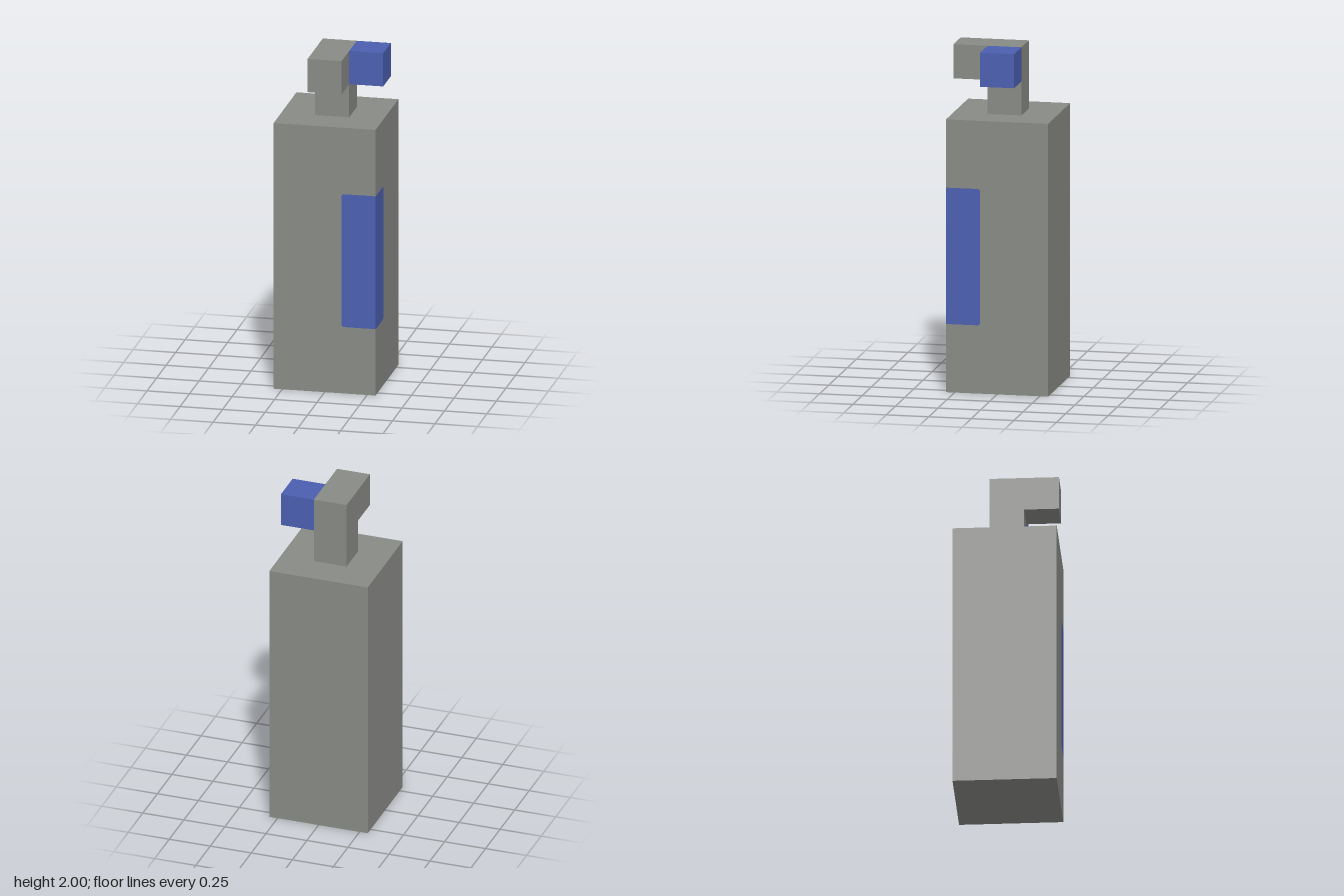
import * as THREE from 'three';

const grey = new THREE.MeshStandardMaterial({ name: 'grey', color: 0x888a85 });
const blue = new THREE.MeshStandardMaterial({ name: 'blue', color: 0x4b5fb0 });

function part(name, geometry, material, parent) {
  const mesh = new THREE.Mesh(geometry, material);
  mesh.name = name;
  parent.add(mesh);
  return mesh;
}

// Half of the corner label, its inner corners slightly clipped
function labelGeometry(side) {
  const inner = 0.1, outer = 0.301, low = 0.4, high = 1.2, clip = 0.01;
  const points = [
    [outer, low], [outer, high], [inner + clip, high],
    [inner, high - clip], [inner, low + clip], [inner + clip, low],
  ].map(([x, y]) => new THREE.Vector2(side * x, y));
  return new THREE.ShapeGeometry(new THREE.Shape(points)).translate(0, 0, 0.301);
}

export function createModel() {
  const model = new THREE.Group();
  model.name = 'bottle';

  // Square body
  part('body', new THREE.BoxGeometry(0.6, 1.6, 0.6).translate(0, 0.8, 0), grey, model);

  // Neck and forward spout as one L-shaped side profile (z, y)
  const profile = [[-0.1, 1.6], [0.1, 1.6], [0.1, 1.8], [0.3, 1.8], [0.3, 2], [-0.1, 2]];
  const neckShape = new THREE.Shape(profile.map(([z, y]) => new THREE.Vector2(z, y)));
  const neck = new THREE.ExtrudeGeometry(neckShape, { depth: 0.2, bevelEnabled: false });
  neck.rotateY(-Math.PI / 2).translate(0.1, 0, 0);
  part('neckAndSpout', neck, grey, model);

  // Blue block on the side of the head
  part('sideKnob', new THREE.BoxGeometry(0.2, 0.2, 0.2).translate(0.2, 1.9, 0), blue, model);

  // Label wrapped around the front left corner
  part('frontLabel', labelGeometry(1), blue, model);
  part('sideLabel', labelGeometry(-1).rotateY(Math.PI / 2), blue, model);

  return model;
}
